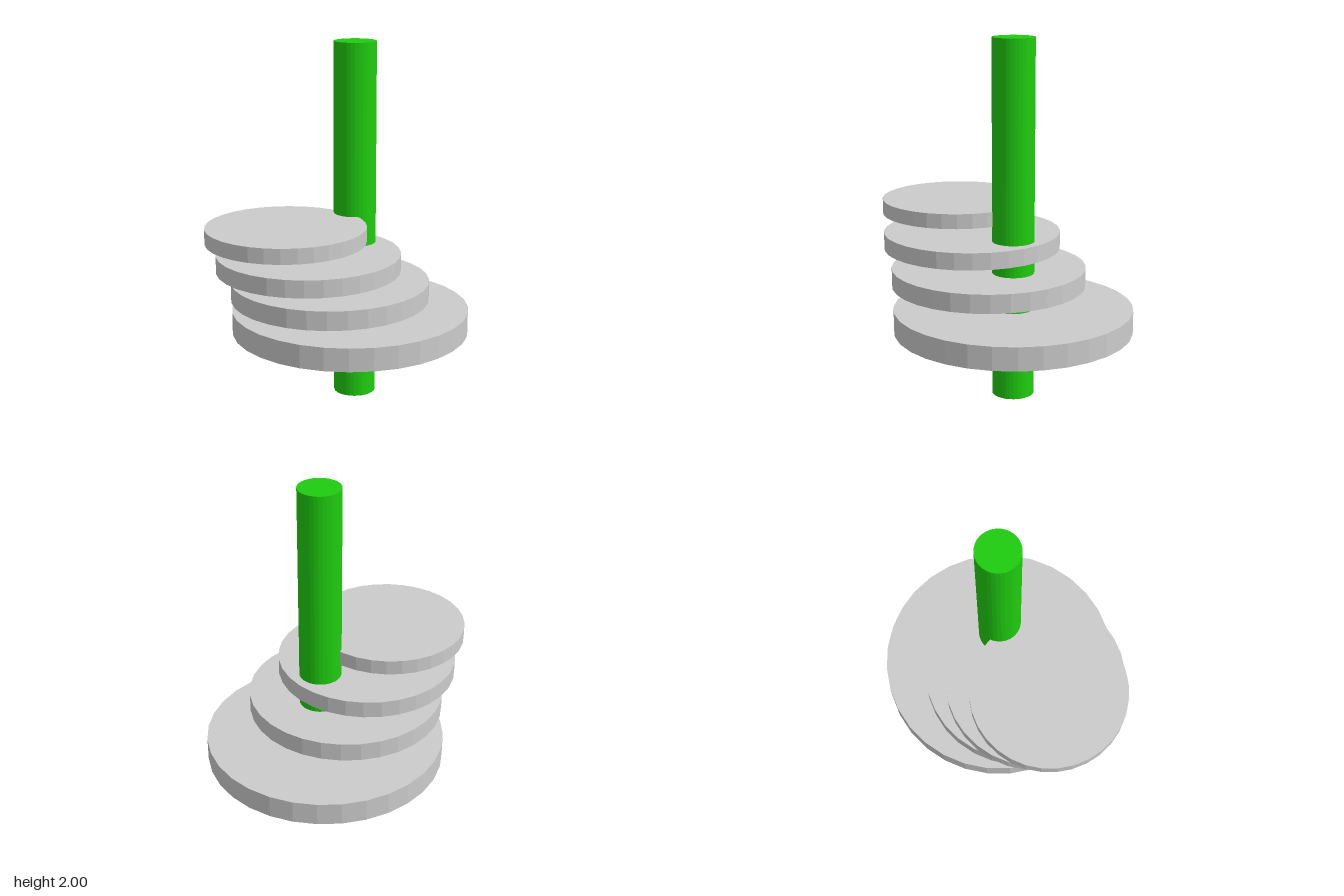
import * as THREE from 'three';

const SIDES = 32;

// Upright faceted cylinder between two heights
function disc(name, radius, bottom, top, x, z, material) {
  const mesh = new THREE.Mesh(
    new THREE.CylinderGeometry(radius, radius, top - bottom, SIDES),
    material
  );
  mesh.name = name;
  mesh.position.set(x, (bottom + top) / 2, z);
  return mesh;
}

export function createModel() {
  const model = new THREE.Group();
  model.name = 'discStack';
  const green = new THREE.MeshStandardMaterial({ color: 0x1fcc0f, flatShading: true });
  const grey = new THREE.MeshStandardMaterial({ color: 0xcccccc, flatShading: true });

  // Central pole
  model.add(disc('pole', 0.117, 0, 2, 0.04, -0.07, green));

  // Discs shrinking and drifting sideways as they rise: radius, bottom, top, x, z
  const discs = [
    [0.67, 0.37, 0.5, 0.015, -0.067],
    [0.548, 0.6, 0.705, -0.067, 0.087],
    [0.502, 0.79, 0.885, -0.16, 0.2],
    [0.432, 0.97, 1.053, -0.258, 0.303],
  ];
  discs.forEach(([r, bottom, top, x, z], i) => {
    model.add(disc(`disc${i + 1}`, r, bottom, top, x, z, grey));
  });

  return model;
}
